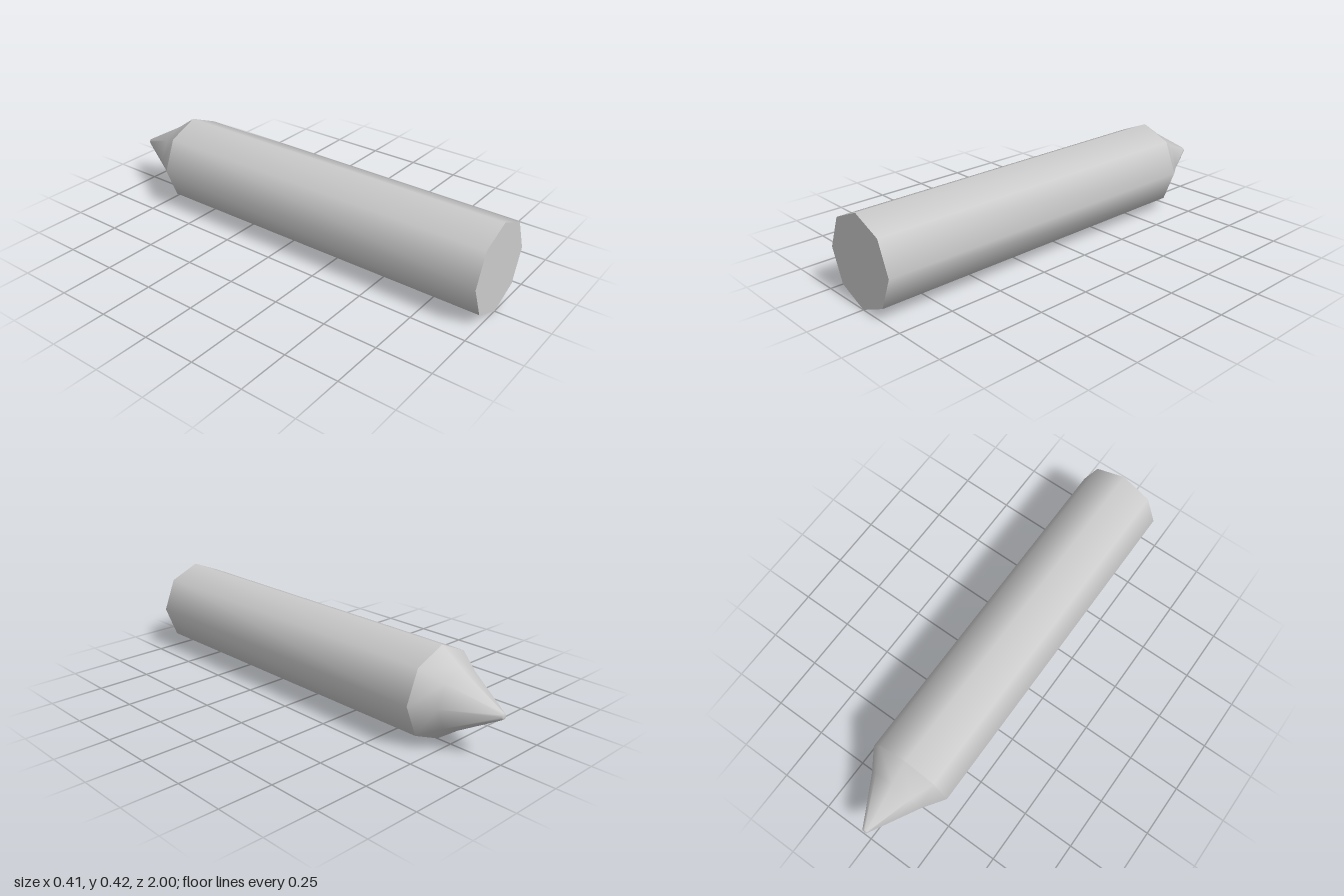
import * as THREE from 'three';

const SIDES = 8;
const RX = 0.203, RY = 0.209; // half width and half height of the octagonal section
const SHOULDER = -0.68;       // where the barrel meets the point

export function createModel() {
  const group = new THREE.Group();
  const material = new THREE.MeshStandardMaterial({ color: 0xcccccc });

  function add(name, geometry) {
    geometry.scale(RX, RY, 1).translate(0, RY, 0);
    const mesh = new THREE.Mesh(geometry, material);
    mesh.name = name;
    group.add(mesh);
  }

  // Long eight-sided barrel, smooth around its sides
  const length = 1 - SHOULDER;
  add('barrel', new THREE.CylinderGeometry(1, 1, length, SIDES, 1, true)
    .rotateX(-Math.PI / 2)
    .translate(0, 0, (1 + SHOULDER) / 2));

  // Flat front end
  add('frontCap', new THREE.CircleGeometry(1, SIDES).translate(0, 0, 1));

  // Tapered point with a slight inward kink and a small blunt tip
  const profile = [[1, -SHOULDER], [0.66, 0.78], [0.07, 0.995], [0.05, 1], [0, 1]]
    .map(([r, y]) => new THREE.Vector2(r, y));
  add('point', new THREE.LatheGeometry(profile, SIDES).rotateX(-Math.PI / 2));

  return group;
}
